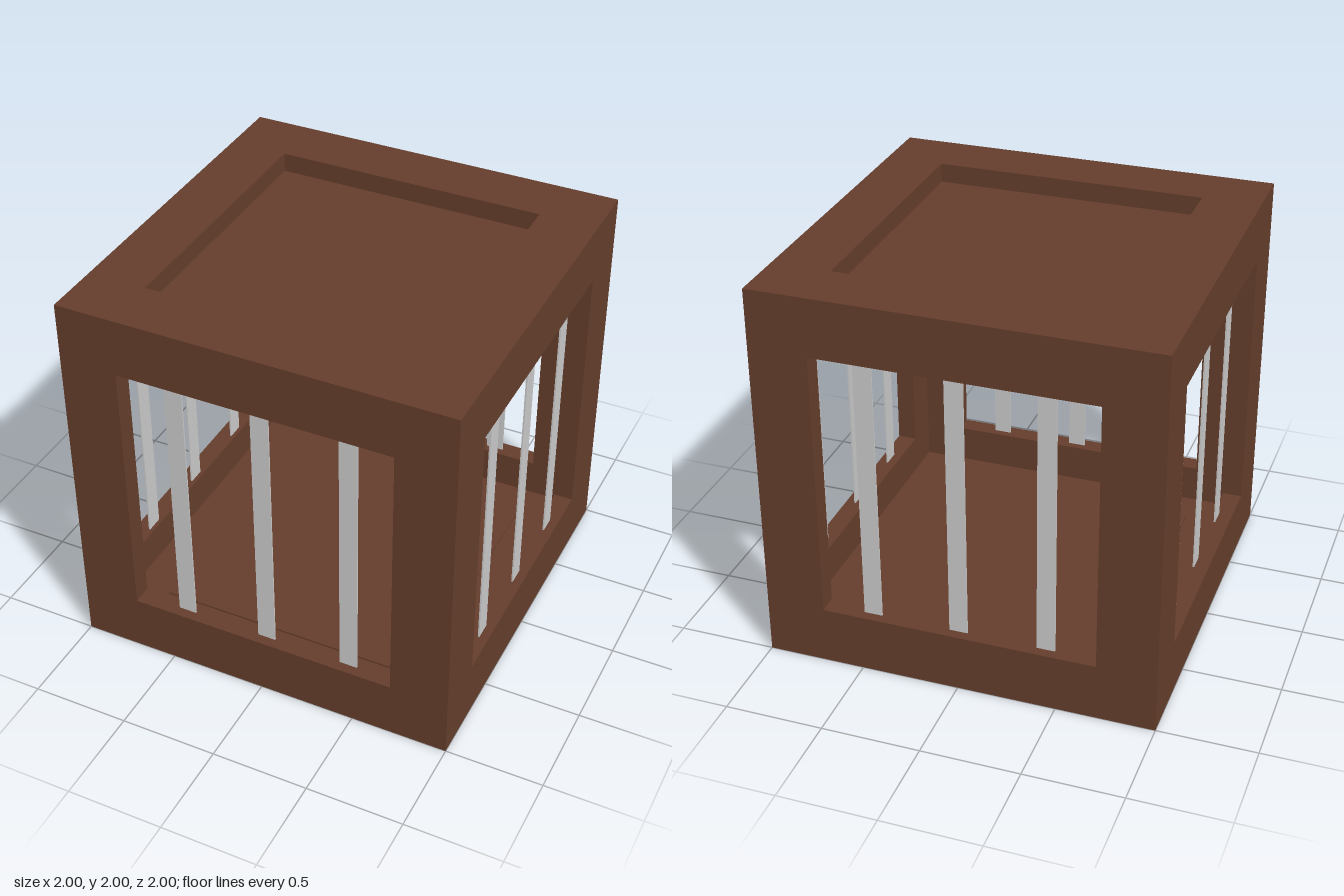
import * as THREE from 'three';

const wood = new THREE.MeshStandardMaterial({ color: 0x653e2c, flatShading: true });
const metal = new THREE.MeshStandardMaterial({ color: 0xcccccc, flatShading: true });

function add(parent, name, geometry, material, x = 0, y = 0, z = 0) {
  const mesh = new THREE.Mesh(geometry, material);
  mesh.name = name;
  mesh.position.set(x, y, z);
  parent.add(mesh);
  return mesh;
}

// Square ring for one cube face, mitred to its neighbours: outer face, reveal, inner face
function ringGeometry() {
  const profile = [[1, 1], [0.7, 1], [0.7, 0.9], [0.9, 0.9]]
    .map(([half, height]) => new THREE.Vector2(half * Math.SQRT2, height));
  return new THREE.LatheGeometry(profile, 4, Math.PI / 4);
}

export function createModel() {
  const model = new THREE.Group();
  model.name = 'cage';

  // Hollow cube frame: six identical window rings around the centre
  const ring = ringGeometry();
  const faces = [
    ['topFrame', 0, 0], ['bottomFrame', Math.PI, 0],
    ['frontFrame', Math.PI / 2, 0], ['backFrame', -Math.PI / 2, 0],
    ['leftFrame', 0, -Math.PI / 2], ['rightFrame', 0, Math.PI / 2],
  ];
  for (const [name, rx, rz] of faces) {
    add(model, name, ring, wood, 0, 1, 0).rotation.set(rx, 0, rz);
  }

  // Recessed panels closing the roof and the floor
  const panel = new THREE.BoxGeometry(1.4, 0.01, 1.4);
  add(model, 'roofPanel', panel, wood, 0, 1.895, 0);
  add(model, 'floorPanel', panel, wood, 0, 0.105, 0);

  // Three flat upright bars in each window
  const bar = new THREE.BoxGeometry(0.093, 1.4, 0.008);
  for (const i of [-1, 0, 1]) {
    const x = 0.01 + i * 0.445;
    const z = 0.003 + i * 0.447;
    add(model, 'frontBar', bar, metal, x, 1, 0.945);
    add(model, 'backBar', bar, metal, x, 1, -0.945);
    add(model, 'leftBar', bar, metal, 0.95, 1, z).rotation.y = Math.PI / 2;
    add(model, 'rightBar', bar, metal, -0.925, 1, z).rotation.y = Math.PI / 2;
  }

  return model;
}
